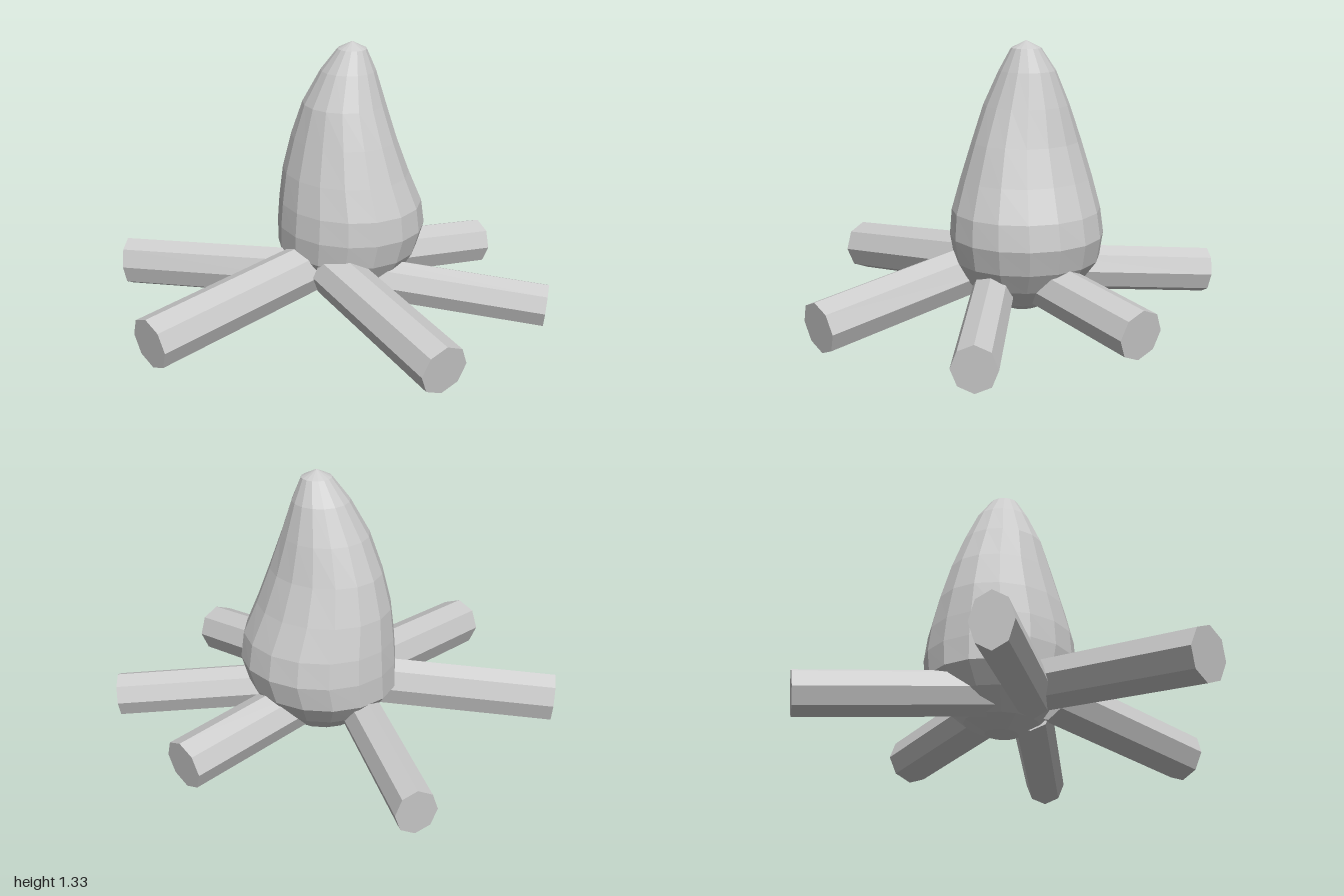
import * as THREE from 'three';

const grey = new THREE.MeshStandardMaterial({ color: 0xcccccc });
grey.name = 'plain grey';

// split faces so each one is shaded flat
function faceted(geometry) {
  const flat = geometry.toNonIndexed();
  flat.computeVertexNormals();
  return flat;
}

// eight-sided log from an inner to an outer end, with half width and half height
function makeLog(name, inner, outer, halfWidth, halfHeight) {
  const a = new THREE.Vector3(...inner);
  const b = new THREE.Vector3(...outer);
  const geometry = new THREE.CylinderGeometry(1, 1, a.distanceTo(b), 8);
  geometry.rotateX(Math.PI / 2);
  geometry.scale(halfWidth, halfHeight, 1);
  const log = new THREE.Mesh(faceted(geometry), grey);
  log.name = name;
  log.position.copy(a).add(b).multiplyScalar(0.5);
  log.lookAt(b);
  return log;
}

// flame rings from the tip down: y, x min, x max, z min, z max
const rings = [
  [1.34, -0.035, -0.035, -0.2, -0.2],
  [1.305, -0.105, 0.035, -0.27, -0.13],
  [1.2, -0.185, 0.08, -0.325, -0.06],
  [1.04, -0.27, 0.14, -0.375, 0.02],
  [0.87, -0.34, 0.205, -0.42, 0.065],
  [0.7, -0.385, 0.265, -0.48, 0.11],
  [0.55, -0.405, 0.32, -0.54, 0.14],
  [0.43, -0.415, 0.33, -0.56, 0.15],
  [0.31, -0.415, 0.3, -0.53, 0.14],
  [0.21, -0.34, 0.24, -0.46, 0.08],
  [0.12, -0.23, 0.15, -0.36, -0.02],
  [0.075, -0.12, 0.05, -0.27, -0.12],
  [0.06, -0.035, -0.035, -0.2, -0.2],
];

function makeFlame() {
  const sides = 16;
  const geometry = new THREE.SphereGeometry(1, sides, rings.length - 1);
  const position = geometry.attributes.position;
  rings.forEach(([y, x0, x1, z0, z1], row) => {
    for (let i = 0; i <= sides; i++) {
      const angle = (i / sides) * Math.PI * 2;
      position.setXYZ(
        row * (sides + 1) + i,
        (x0 + x1) / 2 - (Math.cos(angle) * (x1 - x0)) / 2,
        y,
        (z0 + z1) / 2 + (Math.sin(angle) * (z1 - z0)) / 2
      );
    }
  });
  const flame = new THREE.Mesh(faceted(geometry), grey);
  flame.name = 'flame';
  return flame;
}

export function createModel() {
  const campfire = new THREE.Group();
  campfire.name = 'campfire';
  campfire.add(
    makeFlame(),
    // logs laid out like spokes, rising towards the middle
    makeLog('frontLog', [-0.06, 0.25, 0.0], [-0.06, 0.142, 0.985], 0.125, 0.125),
    makeLog('leftLog', [0.08, 0.245, 0.01], [0.947, 0.125, 0.14], 0.121, 0.121),
    makeLog('backLog', [-0.03, 0.23, -0.25], [0.1, 0.143, -0.98], 0.118, 0.116),
    makeLog('backLeftLog', [0.06, 0.2, -0.1], [0.825, 0.12, -0.69], 0.1, 0.108),
    makeLog('backRightLog', [-0.15, 0.225, -0.11], [-0.915, 0.145, -0.638], 0.095, 0.112),
    makeLog('frontRightLog', [-0.1, 0.2, 0.06], [-0.887, 0.143, 0.562], 0.093, 0.125)
  );
  return campfire;
}
